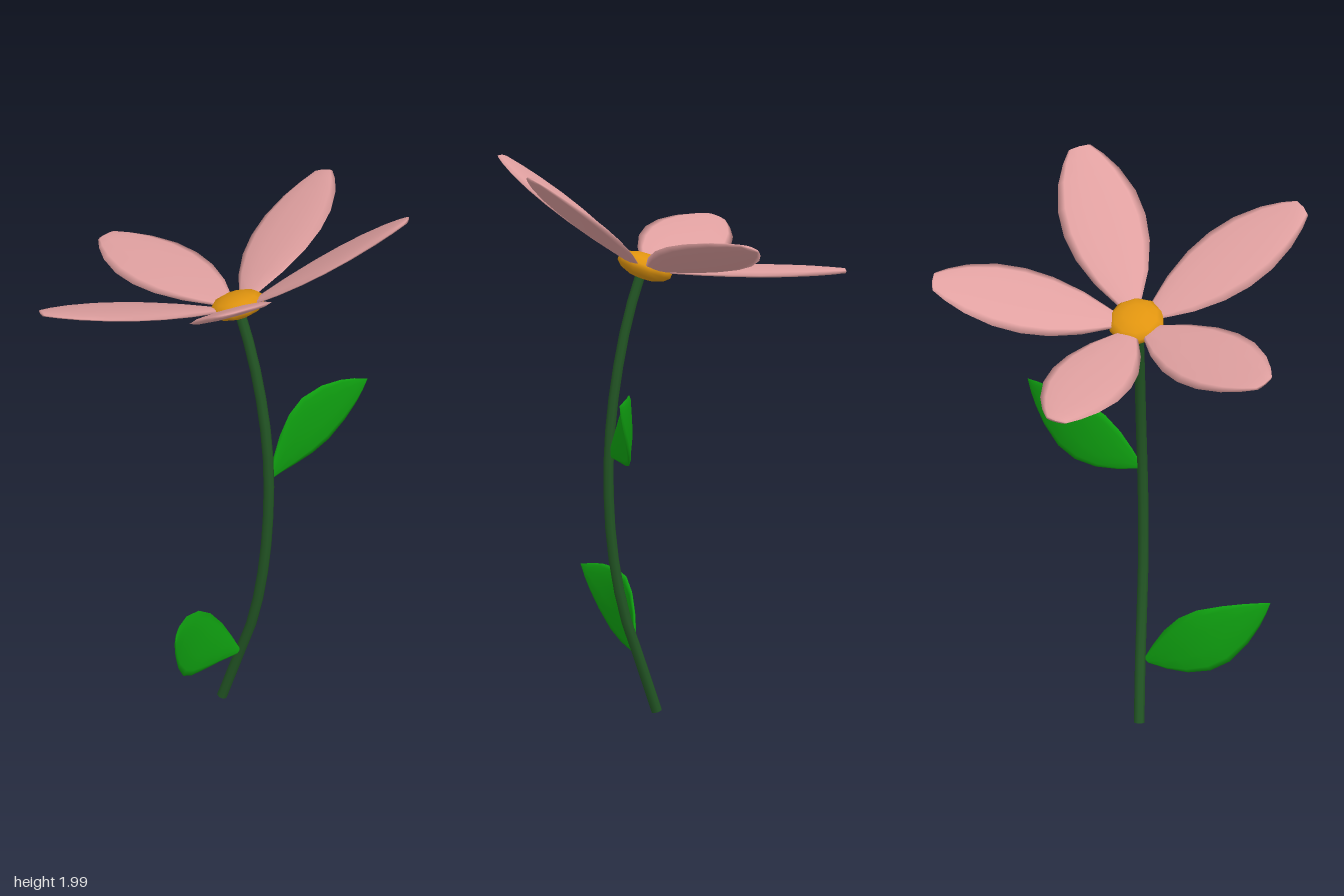
import * as THREE from 'three';

const V = (x, y, z) => new THREE.Vector3(x, y, z);

const material = (name, color) => {
  const m = new THREE.MeshStandardMaterial({ color });
  m.name = name;
  return m;
};

// Thin closed blade along +z: stations are [distance, half width], thickness along y
function bladeGeometry(stations, thickness, sides = 10) {
  const maxW = Math.max(...stations.map((s) => s[1]));
  const pos = [];
  const index = [];
  stations.forEach(([z, w], i) => {
    const t = thickness * Math.sqrt(w / maxW);
    for (let j = 0; j < sides; j++) {
      const a = (j / sides) * Math.PI * 2;
      pos.push(w * Math.cos(a), t * Math.sin(a), z);
      if (i < stations.length - 1) {
        const p = i * sides + j;
        const q = i * sides + ((j + 1) % sides);
        index.push(p, q, p + sides, q, q + sides, p + sides);
      }
    }
  });
  const g = new THREE.BufferGeometry();
  g.setAttribute('position', new THREE.Float32BufferAttribute(pos, 3));
  g.setIndex(index);
  g.computeVertexNormals();
  return g;
}

// Upright leaf: rises along its heading in the ground plane and bends sideways
function leafGeometry(heading, bend) {
  const length = 0.507, reach = 0.441, cos = 0.87, sin = 0.493;
  const profile = [[0, 0], [0.01, 0.012], [0.12, 0.05], [0.25, 0.088], [0.4, 0.115],
    [0.55, 0.118], [0.72, 0.092], [0.85, 0.058], [0.93, 0.03], [1, 0]];
  const g = bladeGeometry(profile.map(([t, w]) => [t * length, w]), 0.012);
  const p = g.attributes.position;
  const cx = Math.cos(heading), cz = Math.sin(heading);
  for (let i = 0; i < p.count; i++) {
    const w = p.getX(i), z = p.getZ(i);
    const s = z * cos - w * sin;
    const k = s / reach;
    const side = p.getY(i) + bend * 4 * k * (1 - k);
    p.setXYZ(i, s * cx - side * cz, z * sin + w * cos, s * cz + side * cx);
  }
  g.computeVertexNormals();
  return g;
}

export function createModel() {
  const root = new THREE.Group();
  root.name = 'flower';
  const petalPink = material('petal pink', 0xe0a0a0);
  const centreOrange = material('centre orange', 0xe0940f);
  const leafGreen = material('leaf green', 0x0f9f10);
  const stemGreen = material('stem green', 0x225524);

  const add = (name, geometry, mat, parent = root) => {
    const mesh = new THREE.Mesh(geometry, mat);
    mesh.name = name;
    parent.add(mesh);
    return mesh;
  };

  // Curved stem with a closed foot
  const path = new THREE.CatmullRomCurve3([
    V(0.01, 0.005, -0.033), V(0.065, 0.2, 0.01), V(0.108, 0.36, 0.047), V(0.14, 0.58, 0.077),
    V(0.155, 0.8, 0.087), V(0.156, 1.0, 0.082), V(0.14, 1.2, 0.065), V(0.105, 1.42, 0.035),
    V(0.065, 1.585, 0.0),
  ]);
  add('stem', new THREE.TubeGeometry(path, 14, 0.019, 8), stemGreen);
  const foot = add('stemFoot', new THREE.CircleGeometry(0.019, 8), stemGreen);
  foot.position.copy(path.getPoint(0));
  foot.quaternion.setFromUnitVectors(V(0, 0, 1), path.getTangent(0).negate());

  // Two leaves on opposite sides of the stem
  add('upperLeaf', leafGeometry(-0.51, -0.05), leafGreen).position.set(0.16, 0.935, 0.08);
  add('lowerLeaf', leafGeometry(2.264, 0.058), leafGreen).position.set(0.06, 0.215, 0.03);

  // Tilted flower centre
  const heart = V(0.06, 1.6, -0.01);
  const normal = V(-0.224, 0.935, -0.271).normalize();
  const disc = add('flowerCentre', new THREE.SphereGeometry(0.102, 10, 7), centreOrange);
  disc.scale.y = 0.45;
  disc.position.copy(heart);
  disc.quaternion.setFromUnitVectors(V(0, 1, 0), normal);

  // Five petals spreading towards their tips
  const petals = new THREE.Group();
  petals.name = 'petals';
  root.add(petals);
  const outline = [[0.06, 0], [0.065, 0.03], [0.11, 0.055], [0.19, 0.098], [0.3, 0.136], [0.4, 0.15],
    [0.5, 0.143], [0.6, 0.112], [0.67, 0.074], [0.715, 0.04], [0.72, 0]];
  const petalGeometry = bladeGeometry(outline.map(([u, w]) => [u / 0.72, w]), 0.016);
  const origin = heart.clone().addScaledVector(normal, -0.018);
  const tips = [V(0.64, 1.985, 0.155), V(-0.085, 1.925, 0.61), V(-0.65, 1.66, 0.04),
    V(-0.31, 1.57, -0.62), V(0.465, 1.77, -0.605)];
  for (const tip of tips) {
    const along = tip.clone().sub(origin);
    const length = along.length();
    along.normalize();
    const side = normal.clone().cross(along).normalize();
    const up = along.clone().cross(side);
    const petal = add('petal', petalGeometry, petalPink, petals);
    petal.quaternion.setFromRotationMatrix(new THREE.Matrix4().makeBasis(side, up, along));
    petal.scale.z = length;
    petal.position.copy(origin);
  }
  return root;
}
